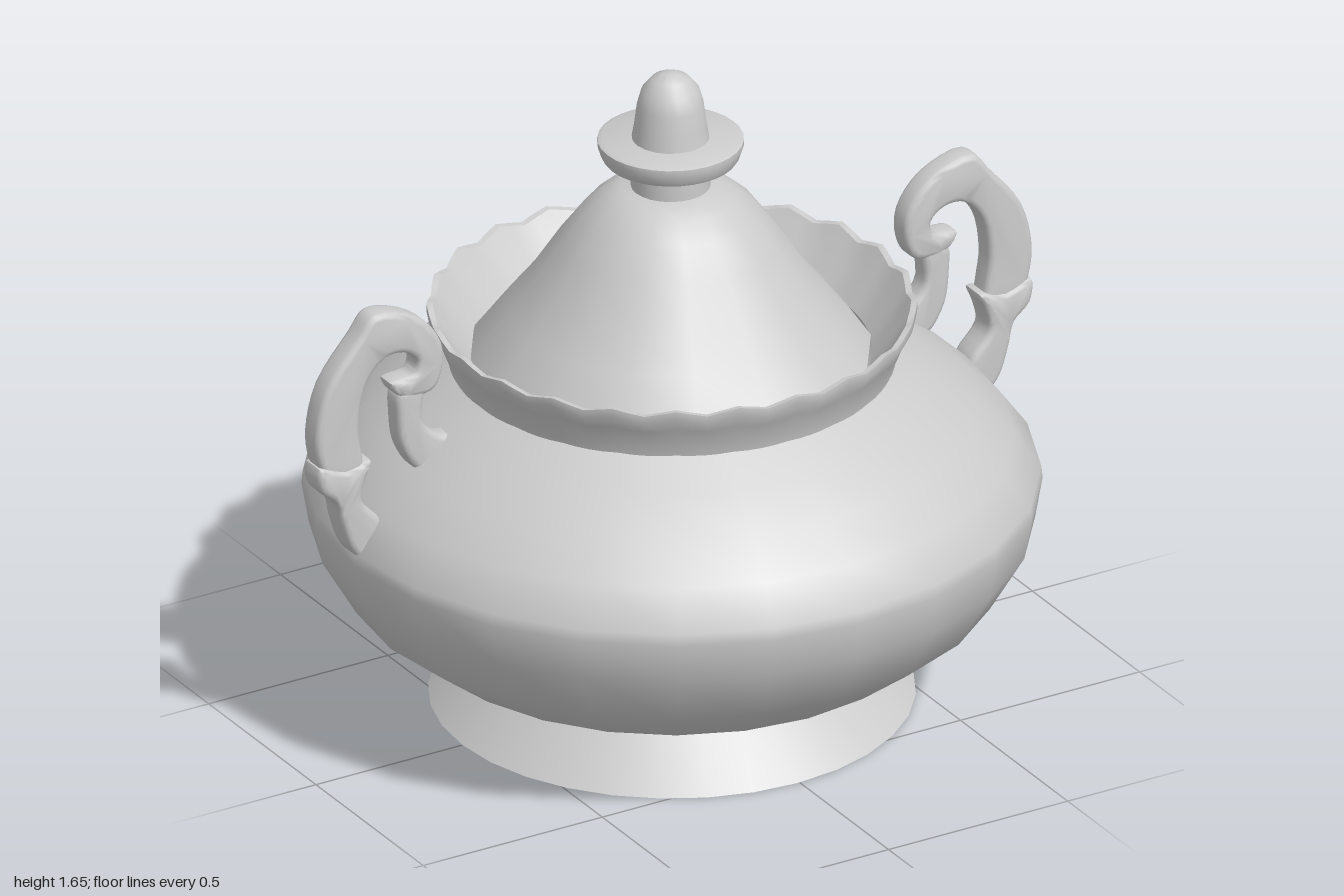
import * as THREE from 'three';
import { toCreasedNormals } from 'three/addons/utils/BufferGeometryUtils.js';

const material = new THREE.MeshStandardMaterial({ color: 0xcccccc, side: THREE.DoubleSide });
const vec = ([x, y]) => new THREE.Vector2(x, y);

function mesh(name, geometry, crease = 0.7) {
  const m = new THREE.Mesh(toCreasedNormals(geometry, crease), material);
  m.name = name;
  return m;
}

function turned(name, profile, segments) {
  return mesh(name, new THREE.LatheGeometry(profile.map(vec), segments));
}

// Flared lip: a thin funnel whose top edge is scalloped
function lip() {
  const g = new THREE.LatheGeometry([
    [0.535, 0.885], [0.54, 0.91], [0.565, 0.975], [0.585, 1.01], [0.585, 1.03],
    [0.57, 1.028], [0.53, 0.97], [0.48, 0.91],
  ].map(vec), 96);
  const p = g.attributes.position;
  for (let i = 0; i < p.count; i++) {
    const x = p.getX(i), y = p.getY(i), z = p.getZ(i);
    const wave = Math.cos(24 * Math.atan2(z, x)) * THREE.MathUtils.smoothstep(y, 0.93, 1.02);
    const s = 1 + 0.006 * wave;
    p.setXYZ(i, x * s, y + 0.009 * wave, z * s);
  }
  return mesh('lip', g);
}

// Rounded slab cut to a smooth closed outline, centred on z = 0
function scroll(name, outline, depth, samples) {
  const curve = new THREE.CatmullRomCurve3(
    outline.map(([x, y]) => new THREE.Vector3(x, y, 0)), true, 'centripetal');
  const shape = new THREE.Shape(curve.getPoints(samples).slice(0, -1).map((p) => new THREE.Vector2(p.x, p.y)));
  const bevel = 0.016;
  const g = new THREE.ExtrudeGeometry(shape, {
    depth: depth - 2 * bevel, bevelThickness: bevel, bevelSize: bevel,
    bevelOffset: -bevel, bevelSegments: 3,
  });
  g.translate(0, 0, bevel - depth / 2);
  return mesh(name, g, 0.9);
}

function handle(name) {
  const group = new THREE.Group();
  group.name = name;
  group.add(
    // Upper hook with its inward curl
    scroll('handleHook', [
      [0.865, 0.79], [0.96, 0.79], [0.99, 0.85], [1.0, 0.93], [0.97, 1.05], [0.88, 1.165],
      [0.835, 1.215], [0.715, 1.18], [0.65, 1.10], [0.648, 1.02], [0.675, 0.975],
      [0.765, 0.98], [0.79, 1.02], [0.725, 1.032], [0.718, 1.065], [0.755, 1.095],
      [0.81, 1.093], [0.86, 1.035], [0.88, 0.93], [0.87, 0.85],
    ], 0.07, 80),
    // Lower stem with a collar under the hook
    scroll('handleStem', [
      [0.85, 0.835], [0.92, 0.825], [0.993, 0.845], [0.99, 0.785], [0.945, 0.74],
      [0.93, 0.68], [0.90, 0.60], [0.85, 0.56], [0.81, 0.59], [0.82, 0.665],
      [0.875, 0.735], [0.865, 0.79],
    ], 0.085, 48),
    // Inner branch from the curl to the shoulder
    scroll('handleBranch', [
      [0.70, 1.0], [0.765, 0.99], [0.77, 0.92], [0.755, 0.83], [0.70, 0.76],
      [0.62, 0.78], [0.59, 0.83], [0.655, 0.85], [0.70, 0.90],
    ], 0.065, 40),
  );
  group.position.z = -0.027;
  return group;
}

export function createModel() {
  const model = new THREE.Group();
  model.name = 'sugarBowl';

  const bowl = new THREE.Group();
  bowl.name = 'bowl';
  bowl.position.x = -0.006;
  bowl.add(
    turned('foot', [[0, 0.012], [0.56, 0.012], [0.565, 0], [0.585, 0], [0.46, 0.13], [0.44, 0.15]], 32),
    turned('body', [
      [0, 0.13], [0.455, 0.13], [0.53, 0.148], [0.635, 0.195], [0.785, 0.31], [0.87, 0.455],
      [0.888, 0.56], [0.885, 0.59], [0.82, 0.68], [0.73, 0.767], [0.63, 0.838], [0.537, 0.897],
    ], 24),
    lip(),
  );

  // Lid with a stepped finial
  const lid = new THREE.Group();
  lid.name = 'lid';
  lid.position.x = -0.01;
  lid.add(
    turned('lidDome', [
      [0.485, 0.915], [0.395, 1.035], [0.335, 1.11], [0.27, 1.21], [0.21, 1.29],
      [0.165, 1.33], [0.12, 1.355], [0, 1.355],
    ], 16),
    turned('finialNeck', [[0.096, 1.34], [0.096, 1.44]], 24),
    turned('finialDisc', [
      [0, 1.43], [0.162, 1.43], [0.168, 1.44], [0.176, 1.465], [0.176, 1.478],
      [0.165, 1.483], [0, 1.483],
    ], 32),
    turned('finialKnob', [
      [0.095, 1.475], [0.088, 1.515], [0.081, 1.57], [0.07, 1.61], [0.045, 1.64],
      [0.02, 1.652], [0, 1.655],
    ], 20),
  );

  const left = handle('leftHandle');
  const right = handle('rightHandle');
  right.rotation.y = Math.PI;

  model.add(bowl, lid, left, right);
  return model;
}
